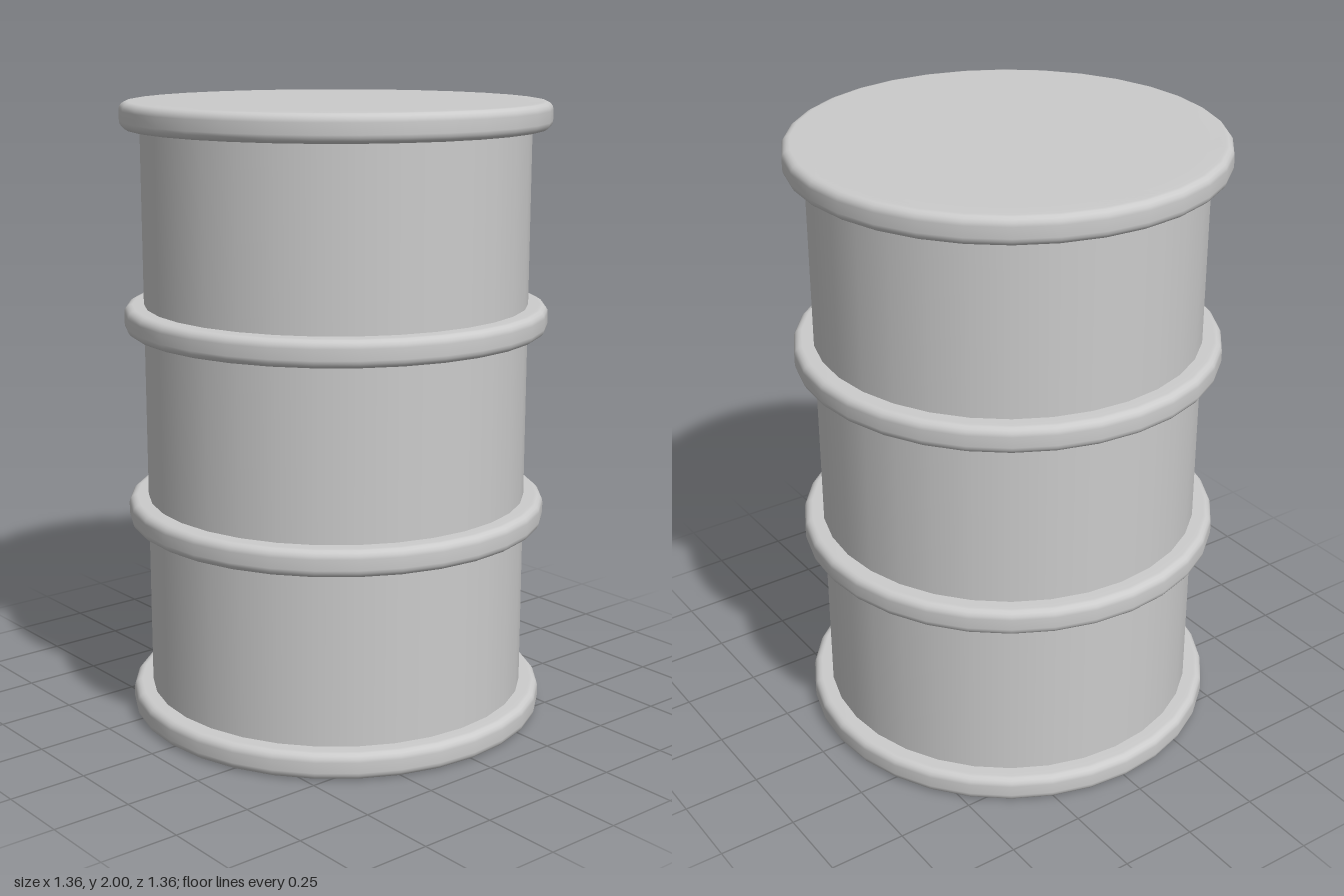
import * as THREE from 'three';

const SEGMENTS = 32;
const BODY_R = 0.617, RIM_R = 0.68, BEVEL = 0.026, BAND_H = 0.086;

export function createModel() {
  const group = new THREE.Group();
  group.name = 'barrel';
  const material = new THREE.MeshStandardMaterial({ color: 0xcccccc });

  const add = (name, geometry, y, tilt = 0) => {
    const mesh = new THREE.Mesh(geometry, material);
    mesh.name = name;
    mesh.position.y = y;
    mesh.rotation.x = tilt;
    group.add(mesh);
  };

  // Drum wall
  add('body', new THREE.CylinderGeometry(BODY_R, BODY_R, 1.9, SEGMENTS, 1, true), 1);

  // Hoop profile: flat shoulders with rounded outer corners
  const half = BAND_H / 2;
  const profile = [new THREE.Vector2(BODY_R - 0.01, -half)];
  for (const side of [-1, 1]) {
    for (let i = 0; i <= 4; i++) {
      const a = (side < 0 ? i - 4 : i) * Math.PI / 8;
      profile.push(new THREE.Vector2(
        RIM_R - BEVEL + BEVEL * Math.cos(a),
        side * (half - BEVEL) + BEVEL * Math.sin(a)));
    }
  }
  profile.push(new THREE.Vector2(BODY_R - 0.01, half));
  const hoop = new THREE.LatheGeometry(profile, SEGMENTS);

  // Two end rims and two middle hoops
  add('bottomRim', hoop, half);
  add('lowerHoop', hoop, 0.687);
  add('upperHoop', hoop, 1.317);
  add('topRim', hoop, 2 - half);

  // Flat ends, meeting the start of the rim's rounding
  const cap = new THREE.CircleGeometry(RIM_R - BEVEL, SEGMENTS);
  add('lid', cap, 2, -Math.PI / 2);
  add('base', cap, 0, Math.PI / 2);

  return group;
}
